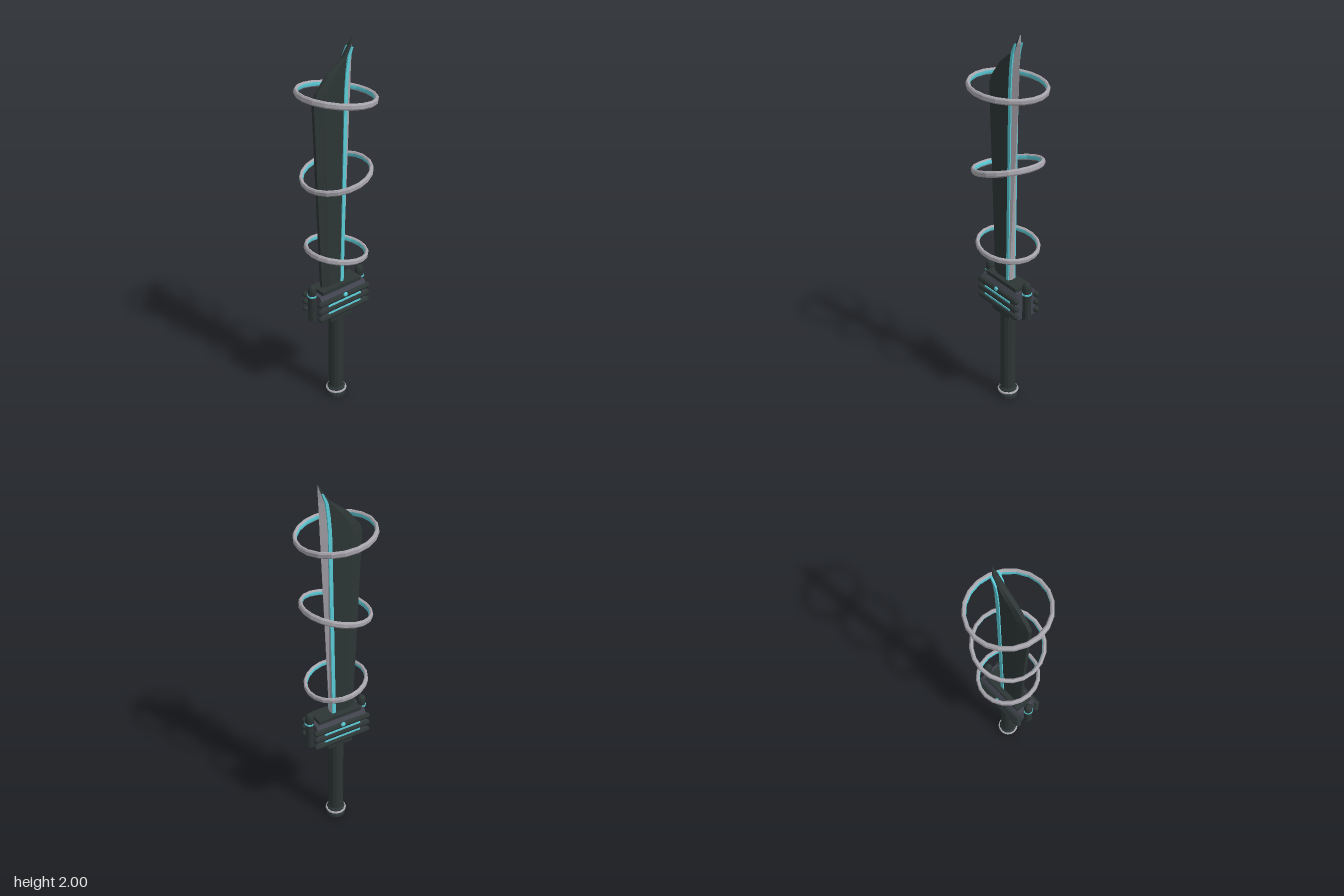
import * as THREE from 'three';

const flat = (name, color, extra = {}) => {
  const m = new THREE.MeshStandardMaterial({ color, flatShading: true, ...extra });
  m.name = name;
  return m;
};

export function createModel() {
  const dark = flat('gunmetal', 0x2d3535);
  const slate = flat('slate', 0x40434d);
  const silver = flat('silver', 0xa9a7ae);
  const teal = flat('teal glow', 0x5accd8);
  const root = new THREE.Group();

  const add = (name, geo, mat, x = 0, y = 0, z = 0, parent = root) => {
    const m = new THREE.Mesh(geo, mat);
    m.name = name;
    m.position.set(x, y, z);
    parent.add(m);
    return m;
  };
  const lathe = (pts, n) => new THREE.LatheGeometry(pts.map(p => new THREE.Vector2(...p)), n);

  // Join open cross-sections, listed bottom to top, into a skin
  const loft = sections => {
    const n = sections[0].length, idx = [];
    for (let j = 0; j < sections.length - 1; j++)
      for (let i = 0; i < n - 1; i++) {
        const a = j * n + i, b = a + 1, c = a + n, d = c + 1;
        idx.push(a, b, d, a, d, c);
      }
    const g = new THREE.BufferGeometry();
    g.setAttribute('position', new THREE.Float32BufferAttribute(sections.flat(2), 3));
    g.setIndex(idx);
    g.computeVertexNormals();
    return g;
  };

  // Blade: height, spine x, strip left x, strip right x, cutting edge x, thickness
  const rows = [
    [0.72, -0.098, 0.012, 0.031, 0.036, 1],
    [1.74, -0.135, 0.031, 0.05, 0.081, 1],
    [1.78, -0.115, 0.033, 0.051, 0.083, 1],
    [1.85, -0.055, 0.039, 0.056, 0.085, 0.95],
    [1.915, 0.033, 0.049, 0.064, 0.088, 0.8],
    [1.96, 0.065, 0.072, 0.08, 0.09, 0.6],
    [2.0, 0.089, 0.0895, 0.09, 0.0905, 0.1],
  ];
  const blade = new THREE.Group();
  blade.name = 'blade';
  root.add(blade);
  const side = (r, s) => {
    const [y, spine, , right, , t] = r;
    return [[spine, y, s * 0.009 * t], [spine + (right - spine) * 0.3, y, s * 0.02 * t], [right, y, s * 0.017 * t]];
  };
  add('bladeBody', loft(rows.map(r => [...side(r, -1).reverse(), ...side(r, 1)])), dark, 0, 0, 0, blade);
  add('cuttingEdge', loft(rows.map(r => [side(r, 1)[2], [r[4], r[0], 0], side(r, -1)[2]])), silver, 0, 0, 0, blade);

  // Glowing strips along both faces of the blade
  const stripRows = rows.slice(0, 6);
  const stripShape = new THREE.Shape([
    ...stripRows.map(r => new THREE.Vector2(r[3], r[0])),
    ...stripRows.map(r => new THREE.Vector2(r[2], r[0])).reverse(),
  ]);
  const stripGeo = new THREE.ExtrudeGeometry(stripShape, { depth: 0.009, bevelEnabled: false });
  add('stripFront', stripGeo, teal, 0, 0, 0.014, blade);
  add('stripBack', stripGeo, teal, 0, 0, -0.023, blade);

  // Tilted rings floating round the blade: height, radius, slope
  for (const [y, r, slope] of [[1.75, 0.195, -0.13], [1.357, 0.18, 0.21], [0.934, 0.164, -0.165]]) {
    const ring = new THREE.Group();
    ring.name = 'floatingRing';
    ring.position.y = y;
    ring.rotation.z = Math.atan(slope);
    root.add(ring);
    add('ringShell', lathe([
      [r - 0.018, -0.009], [r - 0.012, -0.015], [r - 0.005, -0.015], [r, -0.008],
      [r, 0.008], [r - 0.005, 0.015], [r - 0.012, 0.015], [r - 0.018, 0.009],
    ], 20), silver, 0, 0, 0, ring);
    add('ringLining', lathe([[r - 0.018, 0.009], [r - 0.019, 0], [r - 0.018, -0.009]], 20), teal, 0, 0, 0, ring);
  }

  // Guard body: chamfered block running along x
  const block = new THREE.Shape([
    [-0.055, 0.57], [0.055, 0.57], [0.066, 0.582], [0.066, 0.702], [0.05, 0.722],
    [-0.05, 0.722], [-0.066, 0.702], [-0.066, 0.582],
  ].map(p => new THREE.Vector2(...p)));
  const blockGeo = new THREE.ExtrudeGeometry(block, { depth: 0.29, bevelEnabled: false });
  blockGeo.translate(0, 0, -0.145).rotateY(Math.PI / 2);
  add('guardBody', blockGeo, slate);
  add('guardTopPlate', new THREE.BoxGeometry(0.25, 0.024, 0.096), dark, 0, 0.73, 0);
  add('guardCollar', new THREE.BoxGeometry(0.146, 0.034, 0.096), dark, 0, 0.555, 0);

  // Ribs, glowing slots and stud on the front and back of the guard
  const rib = new THREE.CapsuleGeometry(0.016, 0.3, 3, 8).rotateZ(Math.PI / 2);
  for (const s of [1, -1]) {
    for (const y of [0.688, 0.643, 0.598]) add('guardRib', rib, dark, 0, y, s * 0.065);
    for (const y of [0.665, 0.621])
      add('guardSlot', new THREE.BoxGeometry(0.21, 0.009, 0.008), teal, 0, y, s * 0.07);
    const stud = add('guardStud', new THREE.SphereGeometry(0.013, 8, 6), teal, 0, 0.697, s * 0.077);
    stud.scale.set(1.1, 1, 0.6);
  }

  // Domed posts at the two ends of the guard
  for (const s of [1, -1]) {
    add('guardPost', lathe([
      [0, 0.568], [0.023, 0.568], [0.023, 0.752], [0.019, 0.766], [0.01, 0.775], [0, 0.777],
    ], 10), dark, s * 0.155, 0, 0);
    add('postBand', new THREE.CylinderGeometry(0.026, 0.026, 0.009, 10), teal, s * 0.155, 0.716, 0);
  }

  // Grip and pommel
  add('grip', new THREE.CylinderGeometry(0.041, 0.041, 0.5, 14), dark, 0, 0.295, 0);
  add('pommel', lathe([
    [0, 0], [0.053, 0], [0.053, 0.014], [0.047, 0.03], [0.05, 0.05], [0.041, 0.062],
  ], 12), dark);
  const band = add('pommelBand', new THREE.TorusGeometry(0.051, 0.007, 6, 16), silver, 0, 0.038, 0);
  band.rotation.x = Math.PI / 2;

  return root;
}
